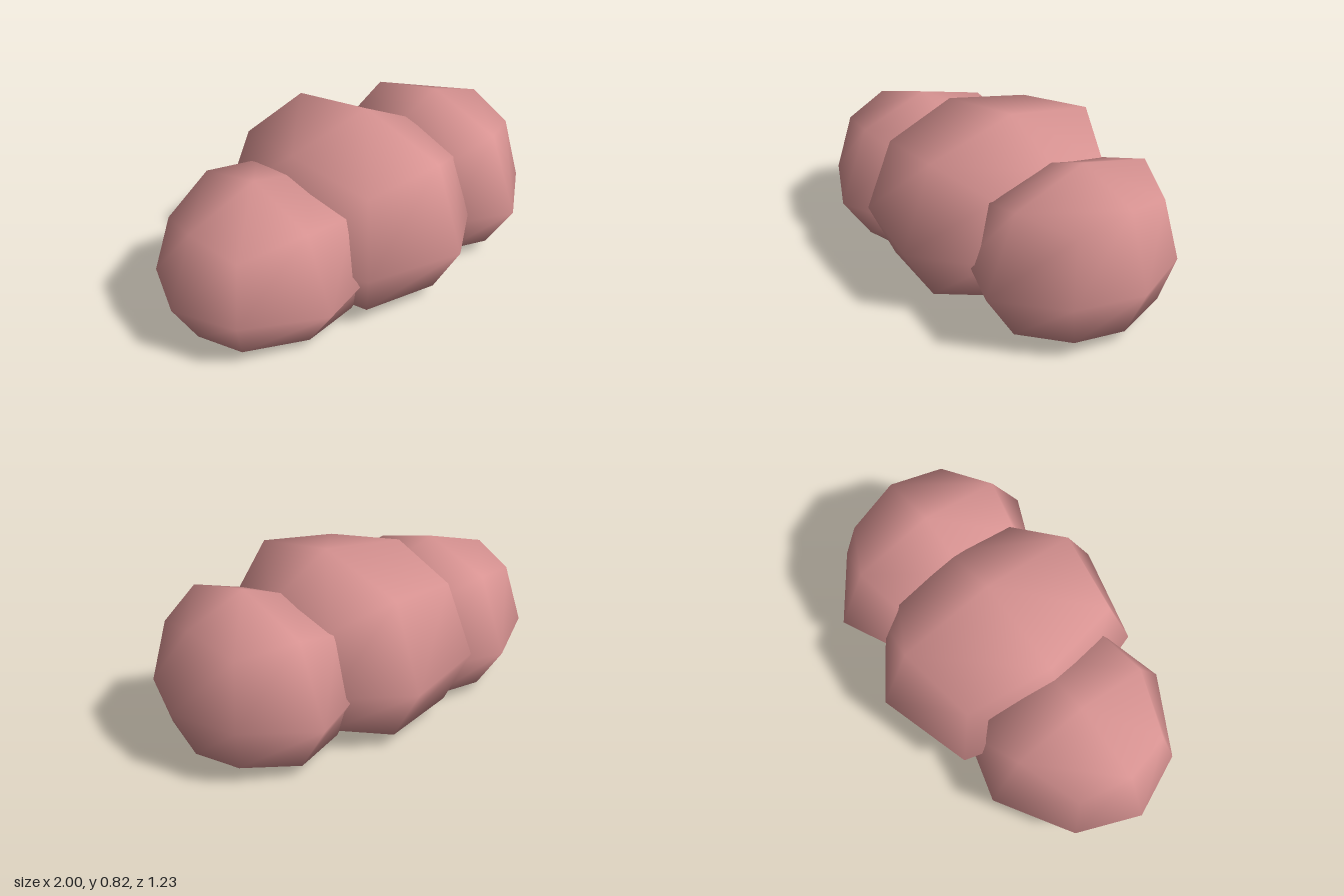
import * as THREE from 'three';
import { mergeVertices } from 'three/addons/utils/BufferGeometryUtils.js';

const pink = new THREE.MeshStandardMaterial({ color: 0xd89392 });
pink.name = 'dusty pink';

// Rounded lobe: a 2x2x2 cube grid whose edges and corners are pulled in.
// left/right give [radius, edge x ratio, edge height ratio, edge depth ratio] per x side.
function lobe(name, { x, y, up, down, depth, ridge, left, right }) {
  let geo = new THREE.BoxGeometry(2, 2, 2, 2, 2, 2);
  geo.deleteAttribute('uv');
  geo.deleteAttribute('normal');
  geo = mergeVertices(geo);
  const p = geo.attributes.position;
  for (let n = 0; n < p.count; n++) {
    const i = Math.round(p.getX(n)), j = Math.round(p.getY(n)), k = Math.round(p.getZ(n));
    const [radius, ex, ey, ez] = i < 0 ? left : right;
    const corner = i && j && k;
    let fx = 1, fy = 1, fz = 1;
    if (j || k) fx = corner ? ex * 0.83 : ex;
    if (i) fy = corner ? ey * 0.83 : ey;
    else if (k) fy = ridge[0];
    if (i) fz = corner ? ez * 0.82 : ez;
    else if (j) fz = ridge[1];
    // The underside is flatter than the top
    if (j < 0) fy = Math.pow(fy, 0.7);
    p.setXYZ(n, x + i * radius * fx, y + j * (j > 0 ? up : down) * fy, k * depth * fz);
  }
  geo.computeVertexNormals();
  const mesh = new THREE.Mesh(geo, pink);
  mesh.name = name;
  return mesh;
}

export function createModel() {
  const group = new THREE.Group();
  group.name = 'threeLobedBody';
  group.add(
    lobe('rightLobe', {
      x: -0.525, y: 0.26, up: 0.45, down: 0.26, depth: 0.495, ridge: [0.77, 0.7],
      left: [0.475, 0.74, 0.745, 0.59], right: [0.45, 0.73, 0.81, 0.8],
    }),
    lobe('middleLobe', {
      x: 0.14, y: 0.33, up: 0.49, down: 0.31, depth: 0.615, ridge: [0.8, 0.75],
      left: [0.6, 0.75, 0.85, 0.8], right: [0.42, 0.74, 0.66, 0.63],
    }),
    lobe('leftLobe', {
      x: 0.6, y: 0.3, up: 0.46, down: 0.29, depth: 0.535, ridge: [0.77, 0.71],
      left: [0.4, 0.725, 0.75, 0.75], right: [0.4, 0.725, 0.77, 0.58],
    }),
  );
  return group;
}
